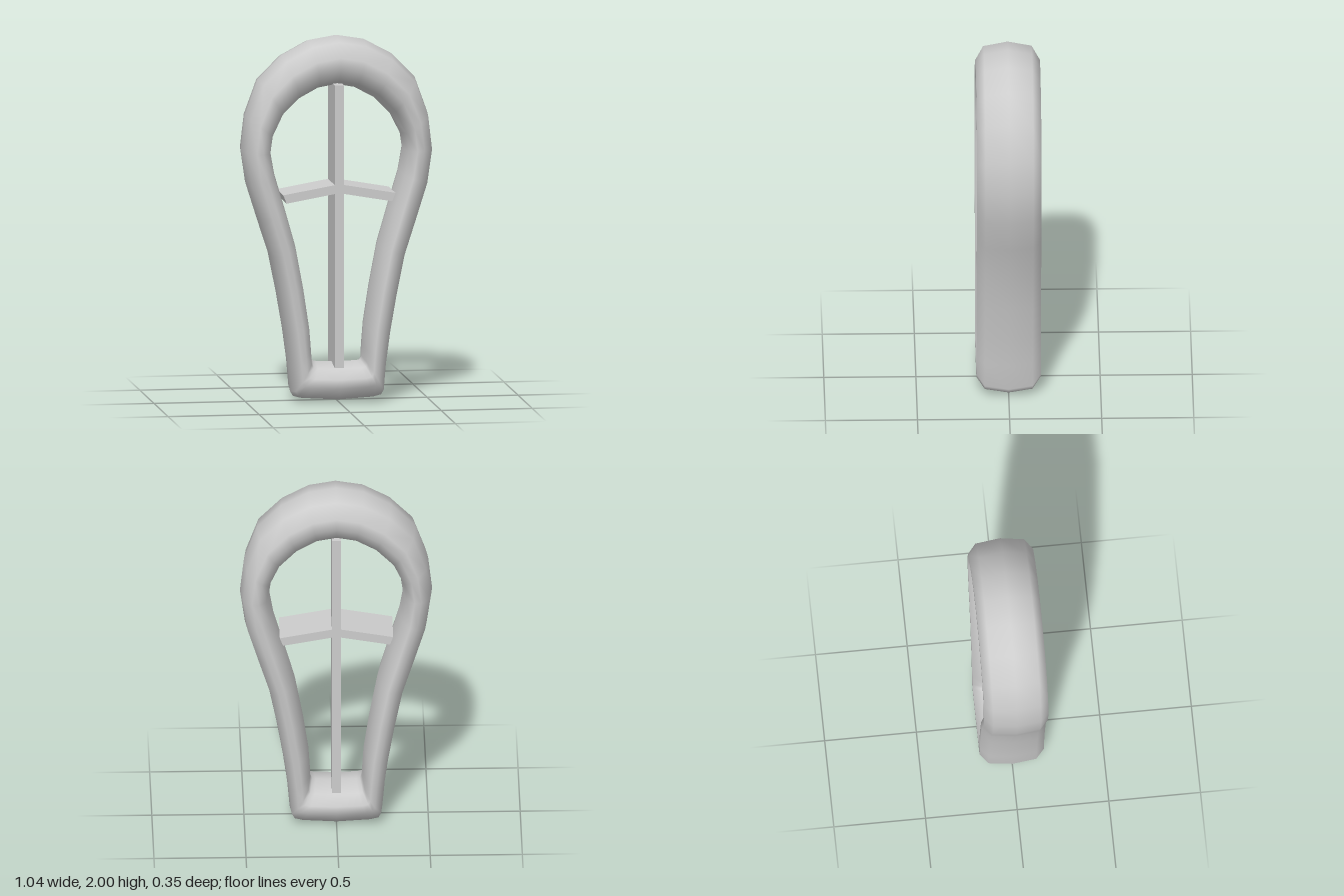
import * as THREE from 'three';

// Half of the loop, top to bottom: [outer x, outer y, inner x, inner y]
const HALF = [
  [0, 2, 0, 1.73], [0.15, 1.975, 0.1, 1.712], [0.3, 1.895, 0.205, 1.655],
  [0.43, 1.765, 0.295, 1.565], [0.5, 1.57, 0.35, 1.455], [0.522, 1.38, 0.362, 1.37],
  [0.495, 1.19, 0.34, 1.245], [0.435, 1.0, 0.285, 1.06], [0.37, 0.8, 0.225, 0.85],
  [0.325, 0.58, 0.18, 0.61], [0.29, 0.38, 0.15, 0.41], [0.265, 0.2, 0.142, 0.29],
  [0.252, 0.05, 0.14, 0.235], [0.237, 0.024, 0.13, 0.218], [0.19, 0.012, 0.11, 0.213],
  [0, 0, 0, 0.21],
];

// Cross-section: [0 = inner edge .. 1 = outer edge, z]
const SECTION = [
  [1, 0], [0.91, 0.13], [0.61, 0.175], [0.38, 0.175], [0.12, 0.13],
  [0, 0], [0.12, -0.13], [0.38, -0.175], [0.61, -0.175], [0.91, -0.13],
];

// Closed rounded loop, smooth shaded
function loopGeometry() {
  const mirrored = HALF.slice(1, -1).reverse().map(([a, b, c, d]) => [-a, b, -c, d]);
  const rings = [...HALF, ...mirrored];
  const n = rings.length, m = SECTION.length;
  const positions = [], index = [];
  rings.forEach(([ox, oy, ix, iy], i) => {
    SECTION.forEach(([t, z], j) => {
      positions.push(ix + (ox - ix) * t, iy + (oy - iy) * t, z);
      const i2 = (i + 1) % n, j2 = (j + 1) % m;
      const a = i * m + j, b = i * m + j2, c = i2 * m + j, d = i2 * m + j2;
      index.push(a, b, c, b, d, c);
    });
  });
  const geometry = new THREE.BufferGeometry();
  geometry.setAttribute('position', new THREE.Float32BufferAttribute(positions, 3));
  geometry.setIndex(index);
  geometry.computeVertexNormals();
  return geometry;
}

export function createModel() {
  const group = new THREE.Group();
  group.name = 'framedLoop';
  const grey = new THREE.MeshStandardMaterial({ color: 0xcccccc });
  grey.name = 'light grey';

  const add = (name, geometry) => {
    const mesh = new THREE.Mesh(geometry, grey);
    mesh.name = name;
    group.add(mesh);
    return mesh;
  };

  add('outerLoop', loopGeometry());

  // Upright divider between the top and bottom of the loop
  const depth = 0.245;
  add('uprightDivider', new THREE.BoxGeometry(0.05, 1.55, depth)).position.y = 0.965;

  // Two sloping arms, bent at the divider
  for (const side of [1, -1]) {
    const arm = new THREE.Shape([
      [0, 1.197], [side * 0.308, 1.143], [side * 0.29, 1.097], [0, 1.148],
    ].map(([x, y]) => new THREE.Vector2(x, y)));
    const geometry = new THREE.ExtrudeGeometry(arm, { depth: depth - 0.004, bevelEnabled: false });
    geometry.translate(0, 0, -depth / 2 + 0.002);
    add(side > 0 ? 'leftCrossArm' : 'rightCrossArm', geometry);
  }
  return group;
}
